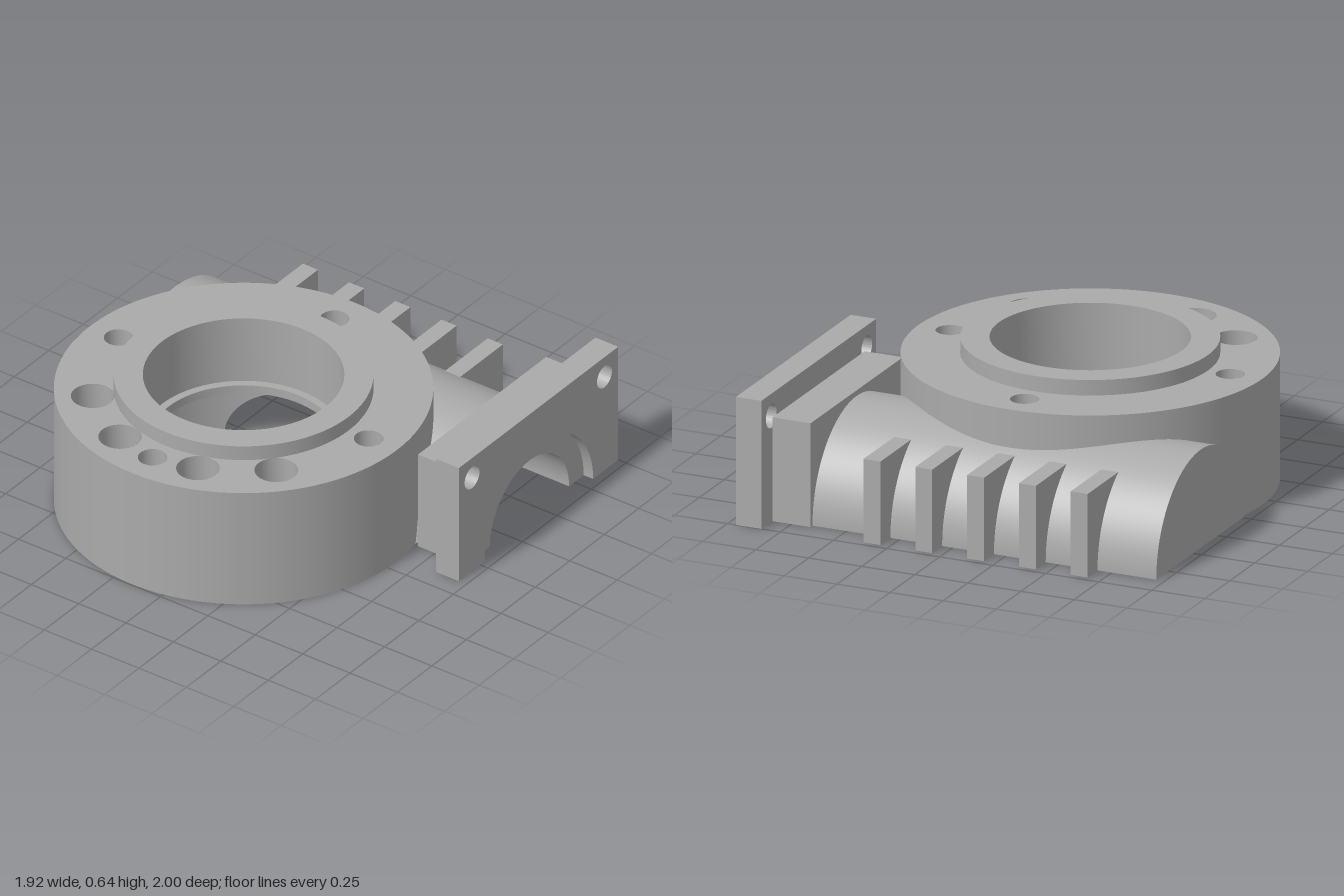
import * as THREE from 'three';
import { toCreasedNormals } from 'three/addons/utils/BufferGeometryUtils.js';

const XC = -0.155, ZC = 0.185;   // gear axis (vertical)
const ZT = -0.425;               // worm tunnel axis (along x)
const R_DISC = 0.81, R_RECESS = 0.49, R_SHELL = 0.445, R_TUNNEL = 0.27, R_SEAT = 0.287, R_POCKET = 0.39;
const X_END = -0.96, X_BLOCK = 0.66, X_SEAT = 0.62, X_POCKET = -0.62, X_WALL = -0.92;
const Y_DISC = 0.57, Y_RECESS = 0.28;

// Ribbon between pairs of points; each row is [p, q, outward normal]
function strip(rows, inward) {
  const pos = [], nor = [], idx = [], s = inward ? -1 : 1;
  rows.forEach(([p, q, n], i) => {
    pos.push(...p, ...q);
    for (let k = 0; k < 2; k++) nor.push(n[0] * s, n[1] * s, n[2] * s);
    if (i === 0) return;
    const a = 2 * i - 2, b = a + 1, c = a + 2, d = a + 3;
    if (inward) idx.push(a, b, c, b, d, c);
    else idx.push(a, c, b, b, c, d);
  });
  const g = new THREE.BufferGeometry();
  g.setAttribute('position', new THREE.Float32BufferAttribute(pos, 3));
  g.setAttribute('normal', new THREE.Float32BufferAttribute(nor, 3));
  g.setIndex(idx);
  return g;
}

// Half cylinder along x, cut away inside a vertical cylinder round the gear axis
function halfTube(r, x0, x1, clipR, inward) {
  const sides = [[], []], N = 128;
  for (let i = 0; i <= N; i++) {
    const t = Math.PI * i / N, c = -Math.cos(t), s = Math.sin(t);
    const z = ZT + r * c, y = r * s;
    const h = Math.sqrt(Math.max(0, clipR ** 2 - (z - ZC) ** 2));
    const l = THREE.MathUtils.clamp(XC - h, x0, x1), m = THREE.MathUtils.clamp(XC + h, x0, x1);
    sides[0].push([[x0, y, z], [l, y, z], [0, s, c]]);
    sides[1].push([[m, y, z], [x1, y, z], [0, s, c]]);
  }
  return sides.map(rows => strip(rows, inward));
}

// Vertical round wall, cut away below a half cylinder along x
function roundWall(r, yTop, cutR, inward) {
  const rows = [], N = 360;
  for (let i = 0; i <= N; i++) {
    const a = 2 * Math.PI * i / N, c = Math.cos(a), s = Math.sin(a);
    const x = XC + r * c, z = ZC + r * s;
    const y = Math.min(yTop, Math.sqrt(Math.max(0, cutR ** 2 - (z - ZT) ** 2)));
    rows.push([[x, yTop, z], [x, y, z], [c, 0, s]]);
  }
  return strip(rows, inward);
}

// Half ring across the tunnel axis
function halfRing(rIn, rOut, x, dir) {
  return new THREE.RingGeometry(rIn, rOut, 64, 1, 0, Math.PI).rotateY(dir * Math.PI / 2).translate(x, 0, ZT);
}

// Extrude a (-z, y) outline along x
function extrudeX(shape, x0, x1) {
  const g = new THREE.ExtrudeGeometry(shape, { depth: x1 - x0, bevelEnabled: false, curveSegments: 48 });
  return toCreasedNormals(g.rotateY(Math.PI / 2).translate(x0, 0, 0), 0.5);
}

// Rectangle with a half round notch in its lower edge
function archShape(zMin, zMax, height, r) {
  const s = new THREE.Shape();
  s.moveTo(-zMax, 0);
  s.lineTo(-ZT - r, 0);
  s.absarc(-ZT, 0, r, Math.PI, 0, true);
  s.lineTo(-zMin, 0);
  s.lineTo(-zMin, height);
  s.lineTo(-zMax, height);
  s.closePath();
  return s;
}

function circle(x, y, r) {
  return new THREE.Path().absarc(x, y, r, 0, Math.PI * 2, true);
}

function lathe(points, x, z, segments) {
  const g = new THREE.LatheGeometry(points.map(p => new THREE.Vector2(...p)), segments);
  return toCreasedNormals(g, 0.5).translate(x, 0, z);
}

export function createModel() {
  const group = new THREE.Group();
  const metal = new THREE.MeshStandardMaterial({ color: 0xaaaaaa, side: THREE.DoubleSide });
  metal.name = 'grey metal';
  const add = (name, ...geos) => geos.flat().forEach(g => {
    const m = new THREE.Mesh(g, metal);
    m.name = name;
    group.add(m);
  });

  // Hole positions on the gear housing
  const polar = (r, deg) => {
    const a = THREE.MathUtils.degToRad(deg);
    return [XC + r * Math.cos(a), ZC + r * Math.sin(a)];
  };
  const boltHoles = [41.5, 71.5, 108.5, 138.5].map(d => polar(0.647, d));
  const topHoles = [0, 90, 180, 270].map(d => polar(0.66, d));
  const underHoles = [-8, 188].map(d => polar(0.655, d));

  // Gear housing: outer wall, top ring, raised collar with stepped bore, gear recess
  add('gearHousingWall', roundWall(R_DISC, Y_DISC, R_SHELL, false));
  const top = new THREE.Shape().absarc(XC, -ZC, R_DISC, 0, Math.PI * 2, false);
  top.holes.push(circle(XC, -ZC, 0.555));
  boltHoles.forEach(([x, z]) => top.holes.push(circle(x, -z, 0.093)));
  topHoles.forEach(([x, z]) => top.holes.push(circle(x, -z, 0.063)));
  add('gearHousingTop', new THREE.ShapeGeometry(top, 64).rotateX(-Math.PI / 2).translate(0, Y_DISC, 0));
  add('collarAndBore', lathe([[0.555, Y_DISC], [0.555, 0.64], [0.43, 0.64], [0.43, 0.32],
    [0.395, 0.32], [0.395, Y_RECESS], [R_RECESS, Y_RECESS]], XC, ZC, 96));
  add('gearRecessWall', roundWall(R_RECESS, Y_RECESS, R_TUNNEL, true));

  // Hole walls
  boltHoles.forEach(([x, z]) => add('boltHole',
    lathe([[0.093, Y_DISC], [0.093, 0.42], [0.058, 0.42], [0.058, 0]], x, z, 32)));
  topHoles.forEach(([x, z]) => add('topHole', lathe([[0.063, Y_DISC], [0.063, 0.37], [0, 0.37]], x, z, 32)));
  underHoles.forEach(([x, z]) => add('undersideHole', lathe([[0.055, 0], [0.055, 0.3], [0, 0.3]], x, z, 32)));

  // Worm housing: outer shell and closed end
  add('wormHousingShell', halfTube(R_SHELL, X_END, X_BLOCK, R_DISC, false));
  add('wormHousingEnd', halfRing(0, R_SHELL, X_END, -1));

  // Worm tunnel: bearing seat, bore, end pocket and the steps between
  add('wormTunnel', halfTube(R_TUNNEL, X_POCKET, X_SEAT, R_RECESS, true));
  add('bearingSeat', halfTube(R_SEAT, X_SEAT, X_BLOCK, 0, true));
  add('endPocket', halfTube(R_POCKET, X_WALL, X_POCKET, 0, true));
  add('tunnelStep', halfRing(R_TUNNEL, R_SEAT, X_SEAT, 1), halfRing(R_TUNNEL, R_POCKET, X_POCKET, -1),
    halfRing(0, R_POCKET, X_WALL, 1));

  // Flat split face, following the outline and the open cavities
  const face = new THREE.Shape();
  const to = (...pts) => pts.forEach(([x, z]) => face.lineTo(x, z));
  const zs = ZT + R_SHELL, aDisc = Math.asin((zs - ZC) / R_DISC);
  const aRec = Math.asin((ZT + R_TUNNEL - ZC) / R_RECESS);
  face.moveTo(X_BLOCK, ZT - R_SHELL);
  to([X_END, ZT - R_SHELL], [X_END, zs]);
  face.absarc(XC, ZC, R_DISC, Math.PI - aDisc, aDisc, true);
  to([X_BLOCK, zs], [X_BLOCK, ZT + R_SEAT], [X_SEAT, ZT + R_SEAT], [X_SEAT, ZT + R_TUNNEL]);
  face.absarc(XC, ZC, R_RECESS, aRec, Math.PI - aRec, false);
  to([X_POCKET, ZT + R_TUNNEL], [X_POCKET, ZT + R_POCKET], [X_WALL, ZT + R_POCKET],
    [X_WALL, ZT - R_POCKET], [X_POCKET, ZT - R_POCKET], [X_POCKET, ZT - R_TUNNEL],
    [X_SEAT, ZT - R_TUNNEL], [X_SEAT, ZT - R_SEAT], [X_BLOCK, ZT - R_SEAT]);
  face.closePath();
  boltHoles.forEach(([x, z]) => face.holes.push(circle(x, z, 0.058)));
  underHoles.forEach(([x, z]) => face.holes.push(circle(x, z, 0.055)));
  add('splitFace', new THREE.ShapeGeometry(face, 96).rotateX(Math.PI / 2));

  // Flange block and end plate with counterbore and two bolt holes
  add('flangeBlock', extrudeX(archShape(-0.89, 0.04, 0.47, R_SEAT), X_BLOCK, 0.84));
  for (const [r, x0, x1] of [[R_SEAT, 0.84, 0.91], [0.393, 0.91, 0.96]]) {
    const s = archShape(-1, 0.155, 0.58, r);
    for (const z of [0.06, -0.9]) s.holes.push(circle(-z, 0.48, 0.054));
    add('flangePlate', extrudeX(s, x0, x1));
  }

  // Cooling fins on the back of the worm housing
  const fin = new THREE.Shape();
  fin.moveTo(0.865, 0);
  fin.lineTo(0.97, 0);
  fin.lineTo(0.97, 0.378);
  fin.lineTo(0.66, 0.378);
  fin.absarc(-ZT, 0, 0.44, 1.02, 0, true);
  for (let i = -2; i <= 2; i++) {
    const x = XC + i * 0.244;
    add('coolingFin', extrudeX(fin, x - 0.04, x + 0.04));
  }
  return group;
}
